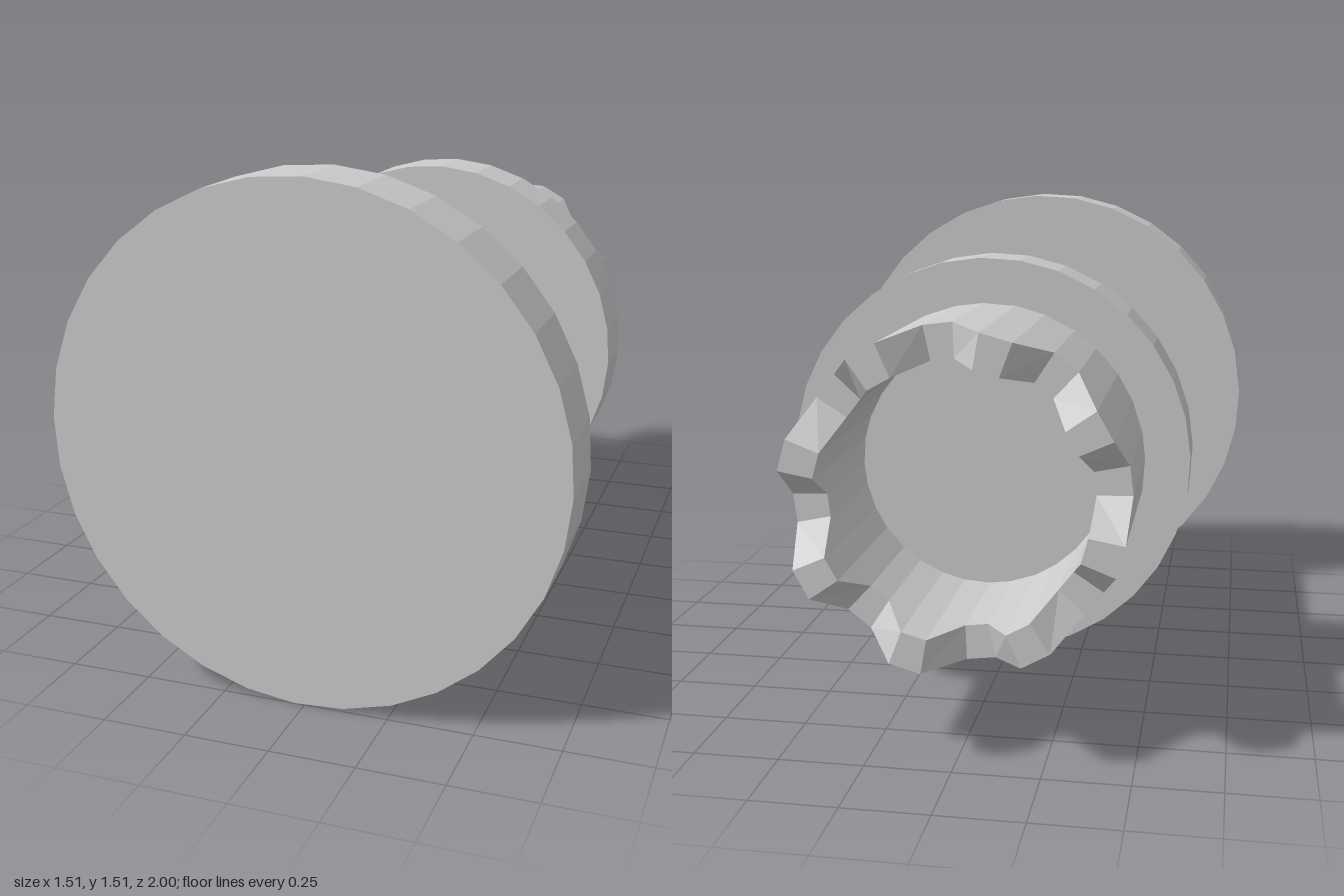
import * as THREE from 'three';

const CY = 0.76; // height of the axis, which runs along z
const mat = new THREE.MeshStandardMaterial({ color: 0xcccccc, flatShading: true });

// Solid disc or shaft along z between z0 and z1
function drum(name, r, z0, z1) {
  const g = new THREE.CylinderGeometry(r, r, z1 - z0, 32, 1, false, -0.04);
  g.rotateX(Math.PI / 2);
  g.translate(0, CY, (z0 + z1) / 2);
  const mesh = new THREE.Mesh(g, mat);
  mesh.name = name;
  return mesh;
}

// Hollow cup opening to the back, its rim cut into tapering teeth
function crown() {
  const rOut = 0.48, rIn = 0.38, zBase = -0.4, zFloor = -0.46, zNotch = -0.85, zTip = -1;
  const teeth = 8;
  // One notch and one tooth: angle from the notch centre, rim depth
  const profile = [[-17, zTip], [-5, zNotch], [5, zNotch], [17, zTip]];
  const rim = [];
  for (let t = 0; t < teeth; t++) {
    for (const [a, z] of profile) rim.push([THREE.MathUtils.degToRad(7 + t * 360 / teeth + a), z]);
  }
  const pos = [];
  const point = (r, a, z) => [r * Math.sin(a), CY + r * Math.cos(a), z];
  const tri = (a, b, c) => pos.push(...a, ...b, ...c);
  const quad = (a, b, c, d) => { tri(a, b, c); tri(a, c, d); };
  const centre = [0, CY, zFloor];
  rim.forEach(([a0, z0], i) => {
    const [a1, z1] = rim[(i + 1) % rim.length];
    const o0 = point(rOut, a0, z0), o1 = point(rOut, a1, z1);
    const i0 = point(rIn, a0, z0), i1 = point(rIn, a1, z1);
    const f0 = point(rIn, a0, zFloor), f1 = point(rIn, a1, zFloor);
    quad(point(rOut, a0, zBase), point(rOut, a1, zBase), o1, o0); // outer wall
    quad(o0, o1, i1, i0); // toothed rim
    quad(i0, i1, f1, f0); // inner wall
    tri(centre, f0, f1); // cavity floor
  });
  const g = new THREE.BufferGeometry();
  g.setAttribute('position', new THREE.Float32BufferAttribute(pos, 3));
  g.computeVertexNormals();
  const mesh = new THREE.Mesh(g, mat);
  mesh.name = 'toothedCrown';
  return mesh;
}

export function createModel() {
  const group = new THREE.Group();
  group.name = 'toothedSpool';
  group.add(
    drum('endFlange', 0.757, 0.78, 1),
    drum('shaft', 0.422, -0.21, 0.78),
    drum('collar', 0.616, -0.4, -0.21),
    crown()
  );
  return group;
}
